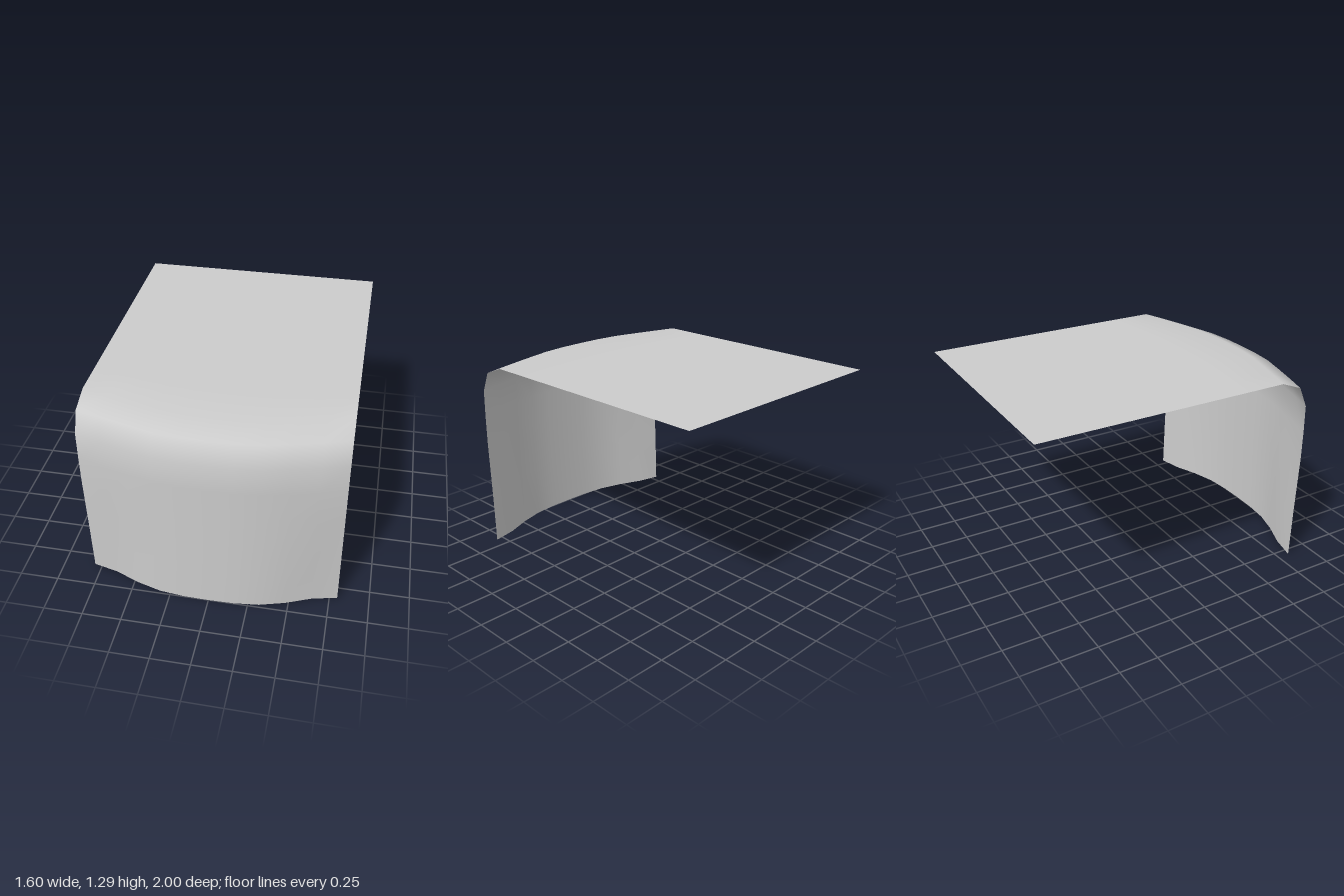
import * as THREE from 'three';

// Centre-line profile from the back of the top to the foot of the front:
// [y, z, bow amount, blend towards the foot curve]
const PROFILE = [
  [1.29, -1, 0, 0], [1.29, -0.5, 0, 0], [1.29, 0, 0, 0], [1.29, 0.47, 0.5, 0],
  [1.29, 0.8, 1, 0], [1.235, 0.94, 1, 0], [1.1, 1, 1, 0],
  [0.92, 1, 0.97, 0], [0.73, 1, 0.97, 0], [0.36, 1, 1, 0.5], [0, 1, 1, 1],
];
// How far the sheet falls back from the centre line towards each side
const BOW = [0, 0.003, 0.02, 0.06, 0.103, 0.15];
const FOOT_BOW = [0, 0.003, 0.02, 0.065, 0.13, 0.167];

export function createModel() {
  const group = new THREE.Group();
  group.name = 'curvedCover';

  // One thin sheet, bent over the front edge and bowed across its width
  const columns = 10;
  const geometry = new THREE.PlaneGeometry(1.6, 1, columns, PROFILE.length - 1);
  const position = geometry.attributes.position;
  for (let i = 0; i < position.count; i++) {
    const column = i % (columns + 1);
    const [y, z, bow, foot] = PROFILE[Math.floor(i / (columns + 1))];
    const k = Math.abs(column - columns / 2);
    const drop = bow * THREE.MathUtils.lerp(BOW[k], FOOT_BOW[k], foot);
    position.setXYZ(i, position.getX(i), y, z - drop);
  }
  geometry.computeVertexNormals();

  const material = new THREE.MeshStandardMaterial({ color: 0xcccccc, side: THREE.DoubleSide });
  const sheet = new THREE.Mesh(geometry, material);
  sheet.name = 'bentSheet';
  group.add(sheet);
  return group;
}
